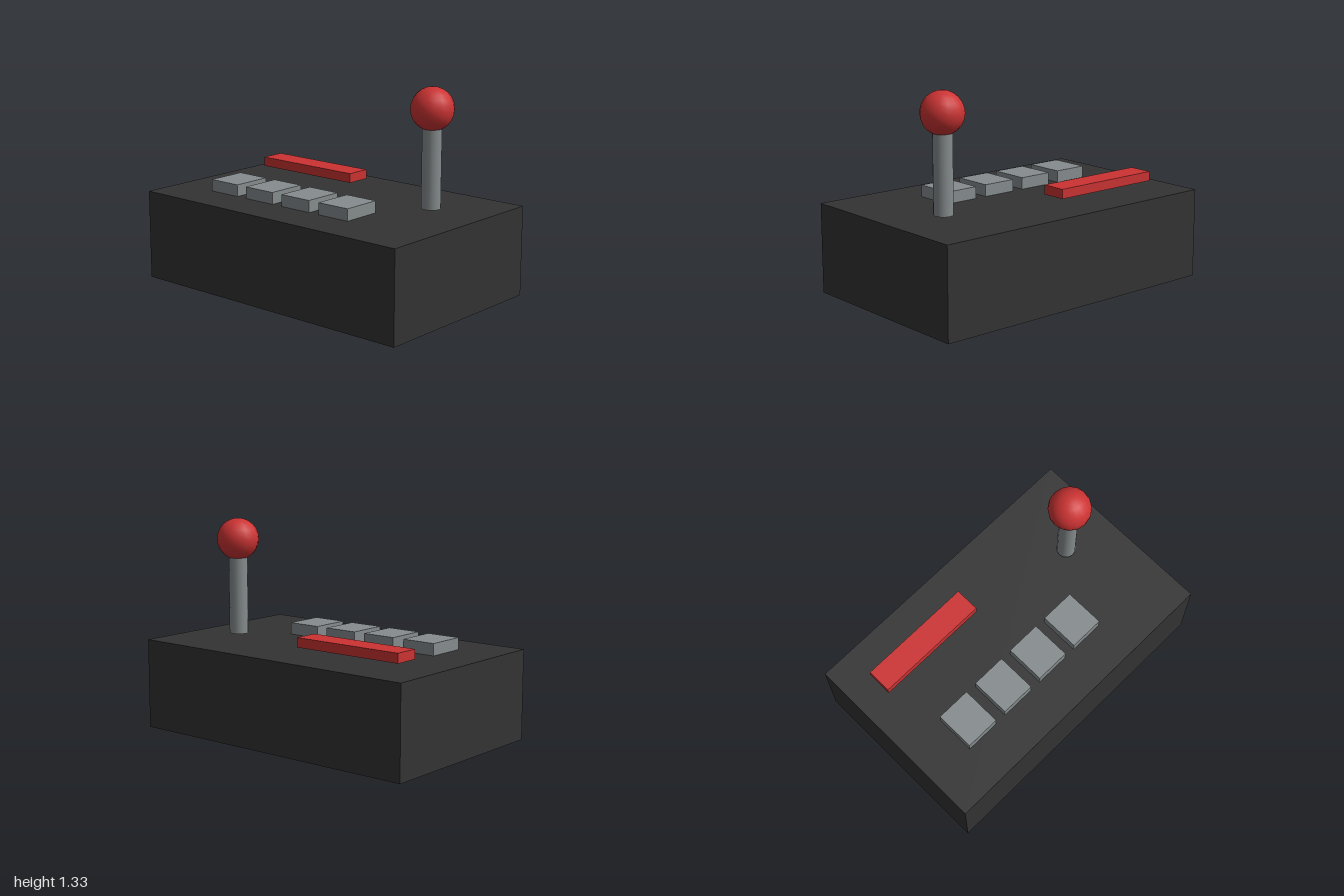
import * as THREE from 'three';

const material = (name, color) => {
  const m = new THREE.MeshStandardMaterial({ color });
  m.name = name;
  return m;
};

export function createModel() {
  const model = new THREE.Group();
  model.name = 'controlPanel';
  const charcoal = material('charcoal', 0x333333);
  const grey = material('grey', 0x868c8e);
  const red = material('red', 0xcc3333);

  const add = (name, geometry, mat, x, y, z) => {
    const mesh = new THREE.Mesh(geometry, mat);
    mesh.name = name;
    mesh.position.set(x, y, z);
    model.add(mesh);
  };

  // Console body
  add('body', new THREE.BoxGeometry(2, 0.568, 1.245), charcoal, 0, 0.284, 0);

  // Row of four push buttons
  const button = new THREE.BoxGeometry(0.226, 0.075, 0.257);
  for (let i = 0; i < 4; i++) {
    add(`button${i + 1}`, button, grey, -0.587 + i * 0.302, 0.606, 0.227);
  }

  // Raised bar at the back, floating just above the top face
  add('bar', new THREE.BoxGeometry(0.755, 0.06, 0.16), red, -0.434, 0.645, -0.32);

  // Lever with its ball knob
  add('leverShaft', new THREE.CylinderGeometry(0.06, 0.06, 0.6, 16), grey, 0.656, 0.888, -0.15);
  add('leverKnob', new THREE.SphereGeometry(0.133, 16, 12), red, 0.656, 1.192, -0.15);

  return model;
}
